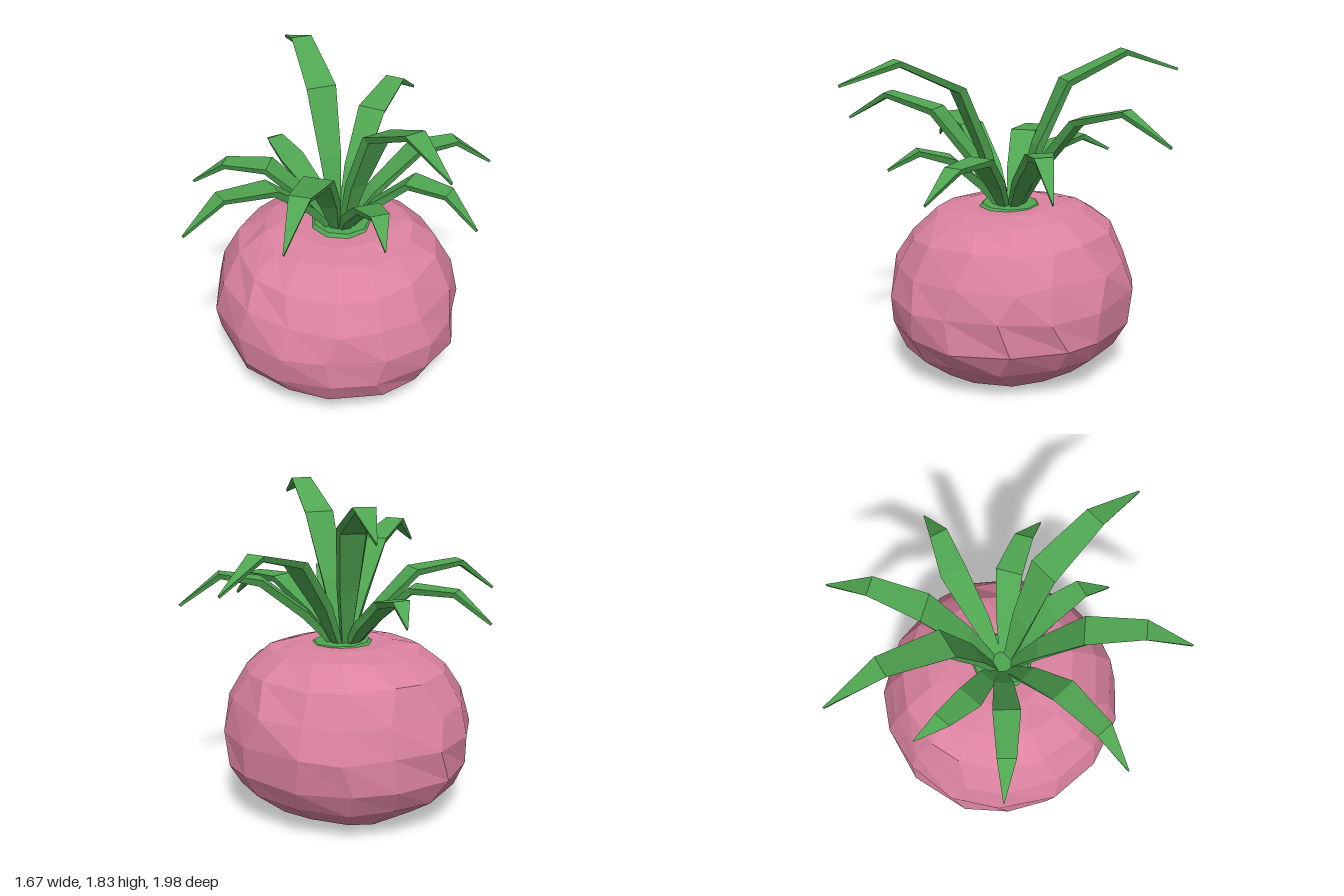
import * as THREE from 'three';

const pink = new THREE.MeshStandardMaterial({ name: 'pinkSkin', color: 0xdb82a0, flatShading: true });
const green = new THREE.MeshStandardMaterial({ name: 'leafGreen', color: 0x4fa651, flatShading: true });

// Repeatable noise in -1..1
const noise = (a, b) => {
  const v = Math.sin(a * 127.1 + b * 311.7) * 43758.5453;
  return (v - Math.floor(v)) * 2 - 1;
};

// Squat faceted root: a lathe with slightly uneven vertices
function makeBody() {
  const profile = [[0, 0.005], [0.22, 0.012], [0.47, 0.05], [0.635, 0.17], [0.71, 0.31], [0.72, 0.49],
    [0.675, 0.66], [0.58, 0.83], [0.43, 0.94], [0.27, 0.972], [0.14, 0.965], [0, 0.96]];
  const sides = 15;
  const geometry = new THREE.LatheGeometry(profile.map(([r, y]) => new THREE.Vector2(r, y)), sides);
  const pos = geometry.attributes.position;
  const rows = profile.length;
  for (let i = 0; i < pos.count; i++) {
    const row = i % rows;
    const column = Math.floor(i / rows) % sides;
    const [r, y] = profile[row];
    if (r === 0) continue;
    const angle = (column + 0.2 * noise(column, row)) / sides * Math.PI * 2;
    const radius = r * (1 + 0.015 * noise(row, column + 40));
    const x = Math.sin(angle) * radius * 1.01 - 0.035 * Math.min(1, r / 0.6);
    const z = Math.cos(angle) * radius * 0.98;
    // The top leans up toward the back left
    const lean = y * (-0.02 * x - 0.02 * z);
    const wobble = row > 1 && row < 9 ? 0.015 * noise(column + 7, row + 3) : 0;
    pos.setXYZ(i, x, Math.max(0, y + lean + wobble), z);
  }
  const mesh = new THREE.Mesh(geometry, pink);
  mesh.name = 'rootBody';
  return mesh;
}

// Bent leaf: a flat four-sided section swept along its joints
function makeLeaf(joints, widthScale = 1) {
  const [first, second, tip] = joints.map((p) => new THREE.Vector3(...p));
  const out = new THREE.Vector3(tip.x, 0, tip.z).normalize();
  const base = out.clone().multiplyScalar(0.035).add(new THREE.Vector3(-0.02, 0.95, 0));
  const lower = base.clone().lerp(first, 0.4);
  lower.y = THREE.MathUtils.lerp(base.y, first.y, 0.5);
  const path = [base, lower, first, second, tip];
  const widths = [0.05, 0.12, 0.165, 0.115, 0.006];
  const depths = [0.035, 0.045, 0.04, 0.032, 0.015];
  const side = new THREE.Vector3(0, 1, 0).cross(out);
  const points = [];
  path.forEach((p, i) => {
    const tangent = path[Math.min(i + 1, 4)].clone().sub(path[Math.max(i - 1, 0)]).normalize();
    const normal = tangent.cross(side).normalize();
    const half = widths[i] * widthScale / 2;
    for (const [s, n] of [[1, 0], [-1, 0], [-0.8, -1], [0.8, -1]]) {
      points.push(...p.clone().addScaledVector(side, s * half).addScaledVector(normal, n * depths[i]).toArray());
    }
  });
  const index = [0, 2, 1, 0, 3, 2, 16, 17, 18, 16, 18, 19];
  for (let i = 0; i < 4; i++) {
    for (let k = 0; k < 4; k++) {
      const a = i * 4 + k;
      const b = i * 4 + (k + 1) % 4;
      index.push(a, b, b + 4, a, b + 4, a + 4);
    }
  }
  const geometry = new THREE.BufferGeometry();
  geometry.setAttribute('position', new THREE.Float32BufferAttribute(points, 3));
  geometry.setIndex(index);
  geometry.computeVertexNormals();
  const mesh = new THREE.Mesh(geometry, green);
  mesh.name = 'leaf';
  return mesh;
}

export function createModel() {
  const model = new THREE.Group();
  model.name = 'rootVegetable';
  model.add(makeBody());

  // Green crown the leaves grow from
  const crown = new THREE.Mesh(new THREE.CylinderGeometry(0.16, 0.19, 0.03, 9), green);
  crown.name = 'crown';
  crown.position.set(-0.01, 0.964, -0.01);
  crown.rotation.set(-0.02, 0, -0.02);
  model.add(crown);

  // Upper bend, outer bend and tip of each leaf
  const leaves = new THREE.Group();
  leaves.name = 'leaves';
  const tall = [
    [[0.27, 1.67, 0.14], [0.56, 1.83, 0.33], [0.83, 1.72, 0.51]],
    [[-0.24, 1.67, -0.22], [-0.5, 1.83, -0.47], [-0.74, 1.71, -0.7]],
  ];
  const middle = [
    [[-0.02, 1.5, -0.42], [-0.01, 1.575, -0.72], [0, 1.41, -0.99]],
    [[0.08, 1.5, 0.42], [0.14, 1.575, 0.73], [0.19, 1.41, 0.99]],
  ];
  const low = [
    [[0.28, 1.36, -0.36], [0.47, 1.39, -0.5], [0.64, 1.21, -0.65]],
    [[-0.22, 1.36, 0.39], [-0.38, 1.39, 0.65], [-0.51, 1.21, 0.83]],
    [[0.38, 1.32, -0.07], [0.62, 1.31, -0.05], [0.81, 1.15, 0]],
    [[-0.39, 1.32, 0.13], [-0.64, 1.31, 0.2], [-0.84, 1.15, 0.24]],
    [[0.25, 1.27, 0.21], [0.39, 1.32, 0.34], [0.49, 1.21, 0.48]],
    [[-0.36, 1.27, -0.08], [-0.53, 1.31, -0.18], [-0.66, 1.21, -0.31]],
  ];
  tall.forEach((joints) => leaves.add(makeLeaf(joints, 1.05)));
  middle.forEach((joints) => leaves.add(makeLeaf(joints)));
  low.forEach((joints) => leaves.add(makeLeaf(joints, 0.92)));
  model.add(leaves);
  return model;
}
